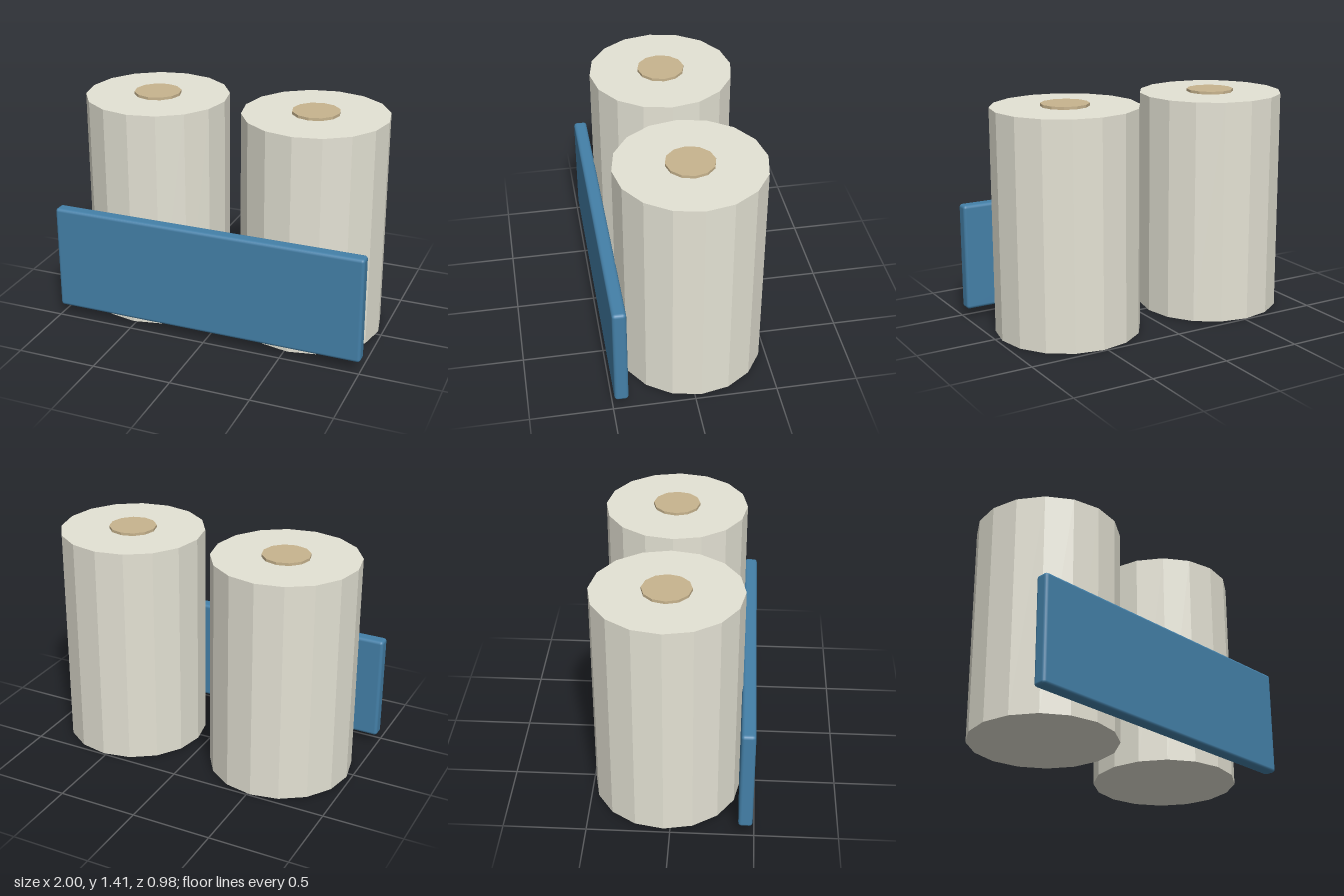
import * as THREE from 'three';
import { RoundedBoxGeometry } from 'three/addons/geometries/RoundedBoxGeometry.js';

function material(name, color, flatShading) {
  const m = new THREE.MeshStandardMaterial({ color, flatShading });
  m.name = name;
  return m;
}

export function createModel() {
  const model = new THREE.Group();
  model.name = 'twinRollPack';

  const cream = material('cream paper', 0xe4e2d4, true);
  const tan = material('tan cardboard', 0xc8b48e, true);
  const blue = material('blue band', 0x4480a8, false);

  const add = (name, geometry, mat, x, y, z, parent) => {
    const mesh = new THREE.Mesh(geometry, mat);
    mesh.name = name;
    mesh.position.set(x, y, z);
    parent.add(mesh);
  };

  // Two faceted rolls, each with a thin core disc on top
  const height = 1.393, top = 1.41;
  const rollGeometry = new THREE.CylinderGeometry(0.45, 0.45, height, 16);
  const coreGeometry = new THREE.CylinderGeometry(0.147, 0.147, top - height, 12);
  for (const [side, x] of [['right', -0.52], ['left', 0.52]]) {
    const roll = new THREE.Group();
    roll.name = side + 'RollGroup';
    roll.position.set(x, 0, -0.04);
    add(side + 'Roll', rollGeometry, cream, 0, height / 2, 0, roll);
    add(side + 'Core', coreGeometry, tan, 0, (top + height) / 2, 0, roll);
    model.add(roll);
  }

  // Wide front panel with softened edges
  add('frontPanel', new RoundedBoxGeometry(2, 0.675, 0.085, 2, 0.02), blue, 0, 0.4025, 0.4475, model);

  return model;
}
